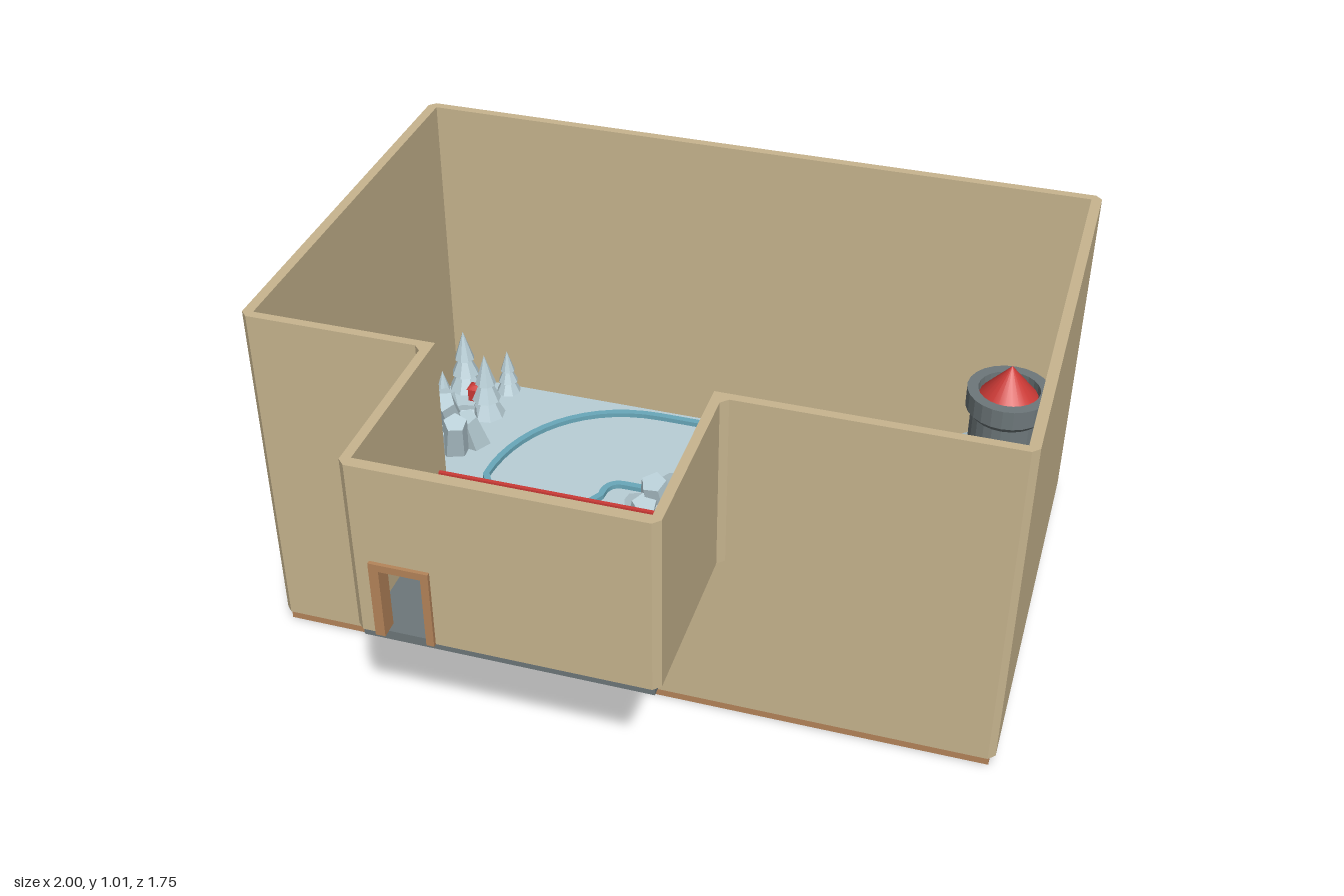
import * as THREE from 'three';

const mat = (name, color, extra = {}) => {
  const m = new THREE.MeshStandardMaterial({ color, ...extra });
  m.name = name;
  return m;
};

export function createModel() {
  const root = new THREE.Group();
  root.name = 'walledWinterGarden';
  const tan = mat('sandWall', 0xc8b58f), brown = mat('woodBrown', 0xb5855a);
  const snow = mat('snow', 0xb9cfd7, { flatShading: true, side: THREE.DoubleSide });
  const ice = mat('iceBlue', 0x69a8ba), grey = mat('stoneGrey', 0x6d777a), red = mat('red', 0xcc3a36);
  const FLOOR = 0.04;

  const add = (name, geo, material, x = 0, y = 0, z = 0, parent = root) => {
    const m = new THREE.Mesh(geo, material);
    m.name = name;
    m.position.set(x, y, z);
    parent.add(m);
    return m;
  };
  // box given by its limits
  const box = (name, material, x0, x1, y0, y1, z0, z1, parent = root) =>
    add(name, new THREE.BoxGeometry(x1 - x0, y1 - y0, z1 - z0), material,
      (x0 + x1) / 2, (y0 + y1) / 2, (z0 + z1) / 2, parent);
  const group = (name, x = 0, y = 0, z = 0) => {
    const g = new THREE.Group();
    g.name = name;
    g.position.set(x, y, z);
    root.add(g);
    return g;
  };

  const toPts = list => list.map(([x, z]) => new THREE.Vector2(x, z));
  // cut every corner of a plan outline
  const chamfer = (list, c) => {
    const p = toPts(list), n = p.length;
    return p.flatMap((v, i) => [p[(i + n - 1) % n], p[(i + 1) % n]].map(o =>
      v.clone().add(o.clone().sub(v).setLength(c))));
  };
  // raise a plan outline (x, z) from y0 to y1
  const raise = (name, outline, hole, y0, y1, material) => {
    const s = new THREE.Shape(outline);
    if (hole) s.holes.push(new THREE.Path(hole));
    const g = new THREE.ExtrudeGeometry(s, { depth: y1 - y0, bevelEnabled: false });
    g.rotateX(Math.PI / 2).translate(0, y1, 0);
    return add(name, g, material);
  };

  // base and snowy ground
  box('base', brown, -0.985, 0.985, 0, 0.03, -0.86, 0.362);
  box('snowGround', snow, -0.974, 0.974, 0.03, FLOOR, -0.852, 0.35);

  // walls: rectangular below, with a balcony bay above
  const lowOuter = chamfer([[-1, -0.875], [1, -0.875], [1, 0.372], [-1, 0.372]], 0.018);
  const lowInner = toPts([[-0.972, -0.85], [0.972, -0.85], [0.972, 0.348], [-0.972, 0.348]]);
  raise('lowerWall', lowOuter, lowInner, 0.03, 0.52, tan);
  const outer = chamfer([[-0.505, 0.87], [-0.505, 0.372], [-1, 0.372], [-1, -0.875],
    [1, -0.875], [1, 0.372], [0.255, 0.372], [0.255, 0.87]], 0.018);
  const inner = toPts([[-0.48, 0.84], [-0.48, 0.348], [-0.972, 0.348], [-0.972, -0.85],
    [0.972, -0.85], [0.972, 0.348], [0.23, 0.348], [0.23, 0.84]]);
  const gapped = [...toPts([[-0.43, 0.87]]), ...outer, ...toPts([[-0.31, 0.87], [-0.31, 0.84]]),
    ...[...inner].reverse(), ...toPts([[-0.43, 0.84]])];
  raise('doorHeightWall', gapped, null, 0.52, 0.73, tan);
  raise('upperWall', outer, inner, 0.73, 1.01, tan);

  // balcony floor and door frame
  box('balconyFloor', grey, -0.49, 0.24, 0.495, 0.521, 0.343, 0.86);
  const frame = group('doorFrame');
  box('doorJamb', brown, -0.45, -0.425, 0.52, 0.74, 0.832, 0.88, frame);
  box('doorJamb', brown, -0.32, -0.3, 0.52, 0.74, 0.832, 0.88, frame);
  box('doorLintel', brown, -0.425, -0.32, 0.72, 0.74, 0.832, 0.88, frame);

  // lattice railing, mirrored about the middle of the balcony
  const rail = group('railing', -0.125, 0.52, 0.39);
  const bar = (x0, x1, y0, y1) => box('railingBar', red, x0, x1, y0, y1, -0.005, 0.005, rail);
  bar(-0.355, 0.355, 0.115, 0.127);
  bar(-0.355, 0.355, 0.008, 0.02);
  for (const s of [-1, 1]) {
    const h = (a, b, y) => bar(Math.min(s * a, s * b), Math.max(s * a, s * b), y - 0.005, y + 0.005);
    const v = (x, y0, y1) => bar(s * x - 0.005, s * x + 0.005, y0, y1);
    v(0.35, 0, 0.127); v(0.295, 0.02, 0.115); v(0.19, 0.02, 0.115); v(0.12, 0, 0.127);
    v(0.085, 0.035, 0.1); v(0.035, 0.035, 0.1);
    h(0.295, 0.19, 0.07); h(0.35, 0.295, 0.045); h(0.19, 0.12, 0.09);
    h(0, 0.12, 0.1); h(0, 0.12, 0.035); h(0.035, 0, 0.068);
  }

  // ice kerbs around the winding course
  const kerb = (path, w = 0.02) => {
    const p = path.getPoints(14).filter((v, i, a) => i === 0 || v.distanceTo(a[i - 1]) > 1e-4);
    if (p[0].distanceTo(p[p.length - 1]) < 1e-4) p.pop();
    const side = d => p.map((v, i) => {
      const t = p[(i + 1) % p.length].clone().sub(p[(i + p.length - 1) % p.length]).normalize();
      return new THREE.Vector2(v.x - t.y * d, v.y + t.x * d);
    });
    const a = side(w / 2), b = side(-w / 2);
    const aOut = Math.abs(THREE.ShapeUtils.area(a)) > Math.abs(THREE.ShapeUtils.area(b));
    raise('iceKerb', aOut ? a : b, aOut ? b : a, FLOOR - 0.005, FLOOR + 0.015, ice);
  };
  const course = new THREE.Path();
  course.moveTo(-0.68, -0.36);
  course.bezierCurveTo(-0.68, -0.61, -0.51, -0.81, -0.26, -0.81);
  course.lineTo(0.02, -0.81);
  course.bezierCurveTo(0.25, -0.81, 0.425, -0.61, 0.425, -0.38);
  course.lineTo(0.425, 0.12);
  course.bezierCurveTo(0.425, 0.22, 0.35, 0.295, 0.25, 0.295);
  course.lineTo(-0.13, 0.295);
  course.bezierCurveTo(-0.37, 0.295, -0.55, 0.1, -0.55, -0.15);
  course.closePath();
  kerb(course);
  const island = new THREE.Path();
  island.moveTo(-0.31, -0.365);
  island.quadraticCurveTo(-0.315, -0.435, -0.255, -0.435);
  island.lineTo(0.005, -0.435);
  island.quadraticCurveTo(0.06, -0.435, 0.06, -0.38);
  island.lineTo(0.06, 0.125);
  island.quadraticCurveTo(0.06, 0.18, 0.005, 0.18);
  island.lineTo(-0.14, 0.18);
  island.bezierCurveTo(-0.31, 0.18, -0.43, 0.03, -0.43, -0.15);
  island.closePath();
  kerb(island);
  kerb(new THREE.Path().absarc(0.24, 0.12, 0.065, 0, Math.PI * 2));

  // folded snow banks in two opposite corners
  const H = 0.14;
  const P = { a: [-0.974, 0, -0.13], b: [-0.745, 0, -0.13], c: [-0.745, 0, 0.12], d: [-0.5, 0, 0.12],
    e: [-0.5, 0, 0.35], f: [-0.974, H, 0.35], p: [-0.974, H, 0.11], q: [-0.735, H, 0.35] };
  const faces = ['apb', 'bpf', 'bfc', 'cfq', 'cqd', 'dqe'];
  const bank = new THREE.BufferGeometry();
  bank.setAttribute('position', new THREE.Float32BufferAttribute(
    faces.flatMap(f => [...f].flatMap(k => P[k])), 3));
  bank.computeVertexNormals();
  add('snowBank', bank, snow, 0, FLOOR, 0);
  add('snowBank', bank, snow, 0, FLOOR, -0.5).rotation.y = Math.PI;

  // pointed snowy trees in three tiers
  const trees = [[-0.92, -0.8, 0.056], [-0.78, -0.82, 0.04], [-0.94, -0.665, 0.038], [-0.8, -0.68, 0.058],
    [-0.86, -0.25, 0.06], [-0.21, -0.09, 0.043], [-0.25, -0.01, 0.043], [0.61, -0.375, 0.06],
    [0.92, -0.31, 0.06], [0.675, -0.19, 0.06], [0.8, -0.19, 0.06], [0.55, -0.07, 0.06], [0.53, 0.04, 0.04],
    [0.675, 0.06, 0.06], [0.55, 0.18, 0.06], [0.69, 0.195, 0.04], [0.78, 0.16, 0.04], [0.92, 0.18, 0.06],
    [0.675, 0.295, 0.055], [0.8, 0.295, 0.055], [0.935, 0.315, 0.038]];
  trees.forEach(([x, z, r], i) => {
    const g = group('snowyTree', x, FLOOR, z);
    g.rotation.y = i * 0.7;
    [[1, 0, 2], [0.8, 1, 1.8], [0.58, 2, 1.8]].forEach(([k, y, h]) =>
      add('treeTier', new THREE.ConeGeometry(r * k, r * h, 8), snow, 0, r * (y + h / 2), 0, g));
  });

  // clusters of leaning five-sided ice rocks
  [[-0.1, -0.28, 1], [0.59, -0.64, 0.95], [-0.85, -0.5, 0.98], [0.87, -0.01, 1]].forEach(([x, z, s], j) => {
    const g = group('iceRocks', x, FLOOR, z);
    g.scale.setScalar(s);
    for (let i = 0; i < 7; i++) {
      const a = i * 1.047 + j, d = i === 6 ? 0 : 0.065, h = i === 6 ? 0.2 : 0.1 + 0.025 * (i % 3);
      const rock = add('iceRock', new THREE.CylinderGeometry(0.038, 0.05, h, 5), snow,
        Math.cos(a) * d, h / 2 - 0.01, Math.sin(a) * d, g);
      rock.rotation.set(Math.sin(a) * 0.3, a * 1.7, -Math.cos(a) * 0.3);
    }
  });

  // red lanterns
  [[-0.865, -0.745, 0, 0], [-0.865, -0.375, 0.05, 0], [0.54, -0.65, 0.13, 0.2],
    [0.65, -0.6, 0.13, 0.15], [0.565, -0.56, 0.11, 0.6]].forEach(([x, z, y, turn]) => {
    const g = group('lantern', x, FLOOR + y, z);
    g.rotation.y = turn;
    box('lanternBody', red, -0.019, 0.019, 0, 0.045, -0.019, 0.019, g);
    add('lanternCap', new THREE.CylinderGeometry(0.012, 0.032, 0.012, 4), red, 0, 0.05, 0, g)
      .rotation.y = Math.PI / 4;
  });

  // six-sided stumps
  [[-0.15, -0.045, 0.028, 0.05], [-0.13, -0.005, 0.033, 0.07], [-0.085, 0.02, 0.024, 0.04]].forEach(([x, z, r, h]) =>
    add('stump', new THREE.CylinderGeometry(r, r, h, 6), tan, x, FLOOR + h / 2, z));

  // round stone tower with a red cone roof
  const tower = group('tower', 0.83, FLOOR, -0.71);
  const profile = [[0, 0], [0.105, 0], [0.105, 0.32], [0.122, 0.34], [0.122, 0.4], [0.09, 0.4], [0.09, 0.36], [0, 0.36]];
  const body = new THREE.LatheGeometry(toPts(profile), 24).toNonIndexed();
  body.computeVertexNormals();
  add('towerBody', body, grey, 0, 0, 0, tower);
  add('towerRoof', new THREE.ConeGeometry(0.085, 0.1, 24), red, 0, 0.43, 0, tower);
  return root;
}
